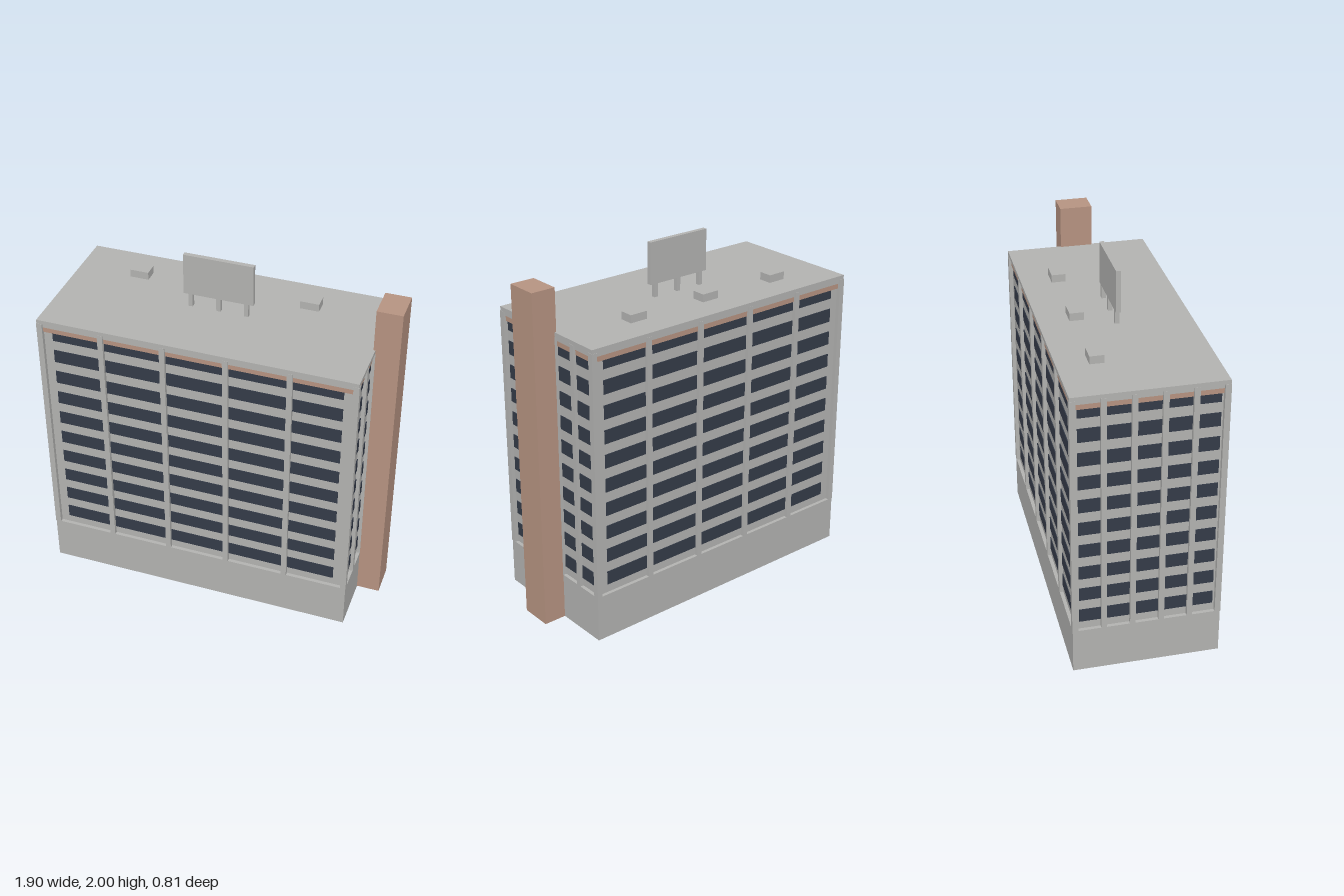
import * as THREE from 'three';

const concrete = new THREE.MeshStandardMaterial({ color: 0xb2b2b0 });
concrete.name = 'concrete grey';
const brick = new THREE.MeshStandardMaterial({ color: 0xb69381 });
brick.name = 'brick brown';
const glass = new THREE.MeshStandardMaterial({ color: 0x343b48 });
glass.name = 'dark glass';

// Box from its minimum and maximum corners
function box(parent, name, material, [x0, y0, z0], [x1, y1, z1]) {
  const mesh = new THREE.Mesh(new THREE.BoxGeometry(x1 - x0, y1 - y0, z1 - z0), material);
  mesh.position.set((x0 + x1) / 2, (y0 + y1) / 2, (z0 + z1) / 2);
  mesh.name = name;
  parent.add(mesh);
  return mesh;
}

const CX = -0.065;              // centre of the main block
const HX = 0.885, HZ = 0.405;   // half width and half depth
const BASE = 0.265, EAVE = 1.665, ROOF = 1.687;
const RECESS = 0.02;            // how far the walls sit behind the pillars

// One facade facing +z with its outer plane at z = 0, w is half its width
function facade(name, w) {
  const g = new THREE.Group();
  g.name = name;
  const inner = w - 0.03;

  // Ribbon windows, one per storey; the top one is cut off by the trim
  for (let i = 0; i < 10; i++) {
    const y = 0.313 + i * 0.1385;
    const top = Math.min(y + 0.078, 1.61);
    box(g, 'windowBand', glass, [-w + 0.08 * (w > 0.5 ? 1 : 0.5), y, -RECESS - 0.002],
      [w - 0.08 * (w > 0.5 ? 1 : 0.5), top, -RECESS + 0.004]);
  }

  // Brown trim and the grey fascia above it
  box(g, 'brickTrim', brick, [-inner, 1.61, -RECESS - 0.002], [inner, 1.64, -0.012]);
  box(g, 'fascia', concrete, [-inner, 1.64, -RECESS - 0.002], [inner, EAVE, -0.008]);

  // Pillars between the five bays
  const step = (2 * w - 0.03) / 5;
  for (let i = 1; i < 5; i++) {
    const x = -w + 0.015 + i * step;
    box(g, 'pillar', concrete, [x - 0.015, BASE, -RECESS - 0.002], [x + 0.015, EAVE, 0.002]);
  }
  return g;
}

export function createModel() {
  const model = new THREE.Group();
  model.name = 'towerBlock';

  // Main masses
  box(model, 'base', concrete, [CX - HX, 0, -HZ], [CX + HX, BASE, HZ]);
  box(model, 'walls', concrete, [CX - HX + RECESS, BASE, -HZ + RECESS], [CX + HX - RECESS, EAVE, HZ - RECESS]);
  box(model, 'roofSlab', concrete, [CX - HX, EAVE, -HZ], [CX + HX, ROOF, HZ]);

  // Corner pillars
  for (const sx of [-1, 1]) for (const sz of [-1, 1]) {
    const x = CX + sx * (HX - 0.014), z = sz * (HZ - 0.014);
    box(model, 'cornerPillar', concrete, [x - 0.016, BASE, z - 0.016], [x + 0.016, EAVE, z + 0.016]);
  }

  // Four facades
  for (let i = 0; i < 4; i++) {
    const side = i % 2 === 1;
    const f = facade(['frontFacade', 'leftFacade', 'backFacade', 'rightFacade'][i], side ? HZ : HX);
    const a = i * Math.PI / 2, d = side ? HX : HZ;
    f.rotation.y = a;
    f.position.set(CX + Math.sin(a) * d, 0, Math.cos(a) * d);
    model.add(f);
  }

  // Brick shaft on the side
  box(model, 'brickShaft', brick, [0.81, 0, -0.092], [0.95, 1.925, 0.092]);

  // Roof vents
  for (const x of [-0.588, -0.098, 0.392]) {
    box(model, 'roofVent', concrete, [x - 0.053, ROOF - 0.01, -0.238], [x + 0.053, 1.731, -0.16]);
  }

  // Blank roof board on three legs
  box(model, 'roofBoard', concrete, [-0.26, 1.763, -0.013], [0.132, 2, 0.013]);
  for (const x of [-0.222, -0.064, 0.092]) {
    box(model, 'boardLeg', concrete, [x - 0.012, ROOF - 0.01, -0.012], [x + 0.012, 1.765, 0.012]);
  }
  return model;
}
